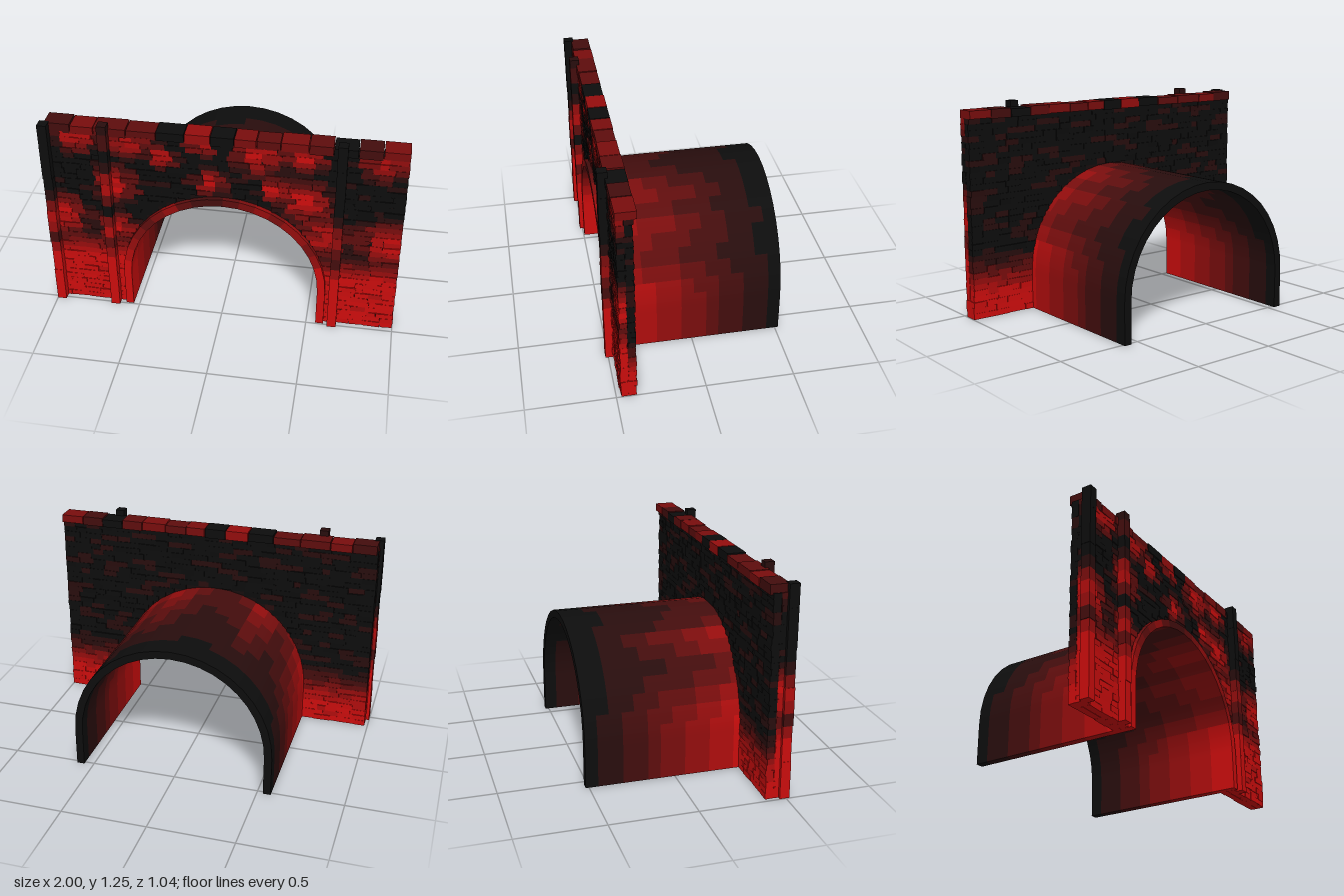
import * as THREE from 'three';
import { mergeGeometries } from 'three/addons/utils/BufferGeometryUtils.js';

const CX = 0.01, SPRING = 0.235, R_IN = 0.545, R_OUT = 0.59; // arch centre, spring line, radii
const Z_FRONT = 0.475, Z_BACK = 0.385, Z_MID = 0.43, WALL_TOP = 1.17;
const SHADES = 8;

// small seeded random, -1..1
let seed = 7;
const rnd = () => {
  seed = (seed * 16807) % 2147483647;
  return (seed / 2147483647) * 2 - 1;
};
const clamp = THREE.MathUtils.clamp;

// shade between soot black (0) and red (1)
function shade(t) {
  return new THREE.MeshStandardMaterial({
    color: new THREE.Color().setRGB(0.05 + 0.74 * t, 0.05, 0.05, THREE.SRGBColorSpace),
  });
}

// collects pieces of one part and merges them into one mesh per shade
function part(name) {
  const buckets = Array.from({ length: SHADES }, () => []);
  return {
    add(geo, tone) {
      buckets[Math.round(clamp(tone, 0, 1) * (SHADES - 1))].push(geo);
    },
    build() {
      const group = new THREE.Group();
      group.name = name;
      buckets.forEach((list, i) => {
        if (!list.length) return;
        const mesh = new THREE.Mesh(mergeGeometries(list), shade(i / (SHADES - 1)));
        mesh.name = name + 'Shade' + i;
        group.add(mesh);
      });
      return group;
    },
  };
}

// box given by its limits
function box(x0, x1, y0, y1, z0, z1, tilt = 0) {
  const g = new THREE.BoxGeometry(x1 - x0, y1 - y0, z1 - z0);
  g.rotateX(rnd() * tilt).rotateY(rnd() * tilt);
  return g.translate((x0 + x1) / 2, (y0 + y1) / 2, (z0 + z1) / 2);
}

// red patches on the front face: x, y, radius
const PATCHES = [
  [-0.92, 0.6, 0.15], [0.92, 0.6, 0.16], [0.47, 0.84, 0.14], [0.3, 0.9, 0.09], [-0.07, 0.92, 0.09],
  [-0.33, 1.06, 0.08], [0.2, 1.13, 0.14], [-0.8, 1.16, 0.12], [-0.52, 1.15, 0.12], [0.45, 1.15, 0.12],
  [-0.6, 0.85, 0.12], [0.88, 1.15, 0.12], [0.58, 0.62, 0.13], [-0.6, 0.55, 0.1], [-0.1, 1.16, 0.08],
];
function frontTone(x, y) {
  let t = clamp((0.52 - y) / 0.18, 0, 1);
  for (const [px, py, r] of PATCHES) {
    t = Math.max(t, 0.9 * clamp(1.35 - Math.hypot(x - px, y - py) / r, 0, 1));
  }
  return t;
}
const backTone = (x, y) => clamp((0.38 - y) / 0.25, 0, 1) + 0.12 * Math.max(0, rnd());

// half width of the opening at a height
function openingAt(y) {
  if (y <= SPRING) return R_OUT - 0.01;
  const d = y - SPRING;
  return d < R_OUT ? Math.sqrt(R_OUT * R_OUT - d * d) - 0.01 : 0;
}

// solid wall core with the arch cut out
function wallCore() {
  const s = new THREE.Shape();
  const r = R_OUT - 0.01;
  s.moveTo(-0.97, 0.005);
  s.lineTo(CX - r, 0.005);
  s.lineTo(CX - r, SPRING);
  s.absarc(CX, SPRING, r, Math.PI, 0, true);
  s.lineTo(CX + r, 0.005);
  s.lineTo(0.99, 0.005);
  s.lineTo(0.99, WALL_TOP);
  s.lineTo(-0.97, WALL_TOP);
  const g = new THREE.ExtrudeGeometry(s, { depth: 0.076, bevelEnabled: false, curveSegments: 20 });
  const mesh = new THREE.Mesh(g.translate(0, 0, 0.392), shade(0.05));
  mesh.name = 'wallCore';
  return mesh;
}

// courses of rough stone on one face of the wall
function stoneFace(name, front) {
  const p = part(name);
  const rows = 34, h = WALL_TOP / rows;
  for (let j = 0; j < rows; j++) {
    const y = j * h, half = openingAt(y);
    const spans = half > 0 ? [[-0.98, CX - half], [CX + half, 0.998]] : [[-0.98, 0.998]];
    for (const [a, b] of spans) {
      const n = Math.max(1, Math.round((b - a) / 0.085));
      const w = (b - a) / n;
      let x0 = a;
      for (let i = 0; i < n; i++) {
        const x1 = i === n - 1 ? b + rnd() * 0.002 : a + w * (i + 1 + rnd() * 0.3);
        const out = rnd() * 0.003, xm = (x0 + x1) / 2, ym = y + h / 2;
        const g = front
          ? box(x0, x1, y, y + h, Z_MID, Z_FRONT - 0.002 + out, 0.06)
          : box(x0, x1, y, y + h, Z_BACK + out, Z_MID, 0.06);
        p.add(g, (front ? frontTone(xm, ym) : backTone(xm, ym)) + rnd() * 0.08);
        x0 = x1;
      }
    }
  }
  return p.build();
}

// row of uneven coping stones
function coping() {
  const p = part('copingStone');
  const joints = [-0.975, -0.83, -0.7, -0.52, -0.355, -0.2, -0.06, 0.07, 0.19, 0.32, 0.47, 0.6, 0.73, 0.86, 1];
  for (let i = 0; i < joints.length - 1; i++) {
    const a = joints[i], b = joints[i + 1], m = (a + b) / 2;
    const g = box(a + 0.002, b - 0.002, 1.163 + rnd() * 0.004, 1.213 + rnd() * 0.005,
      0.366 + rnd() * 0.003, 0.477 + rnd() * 0.003);
    p.add(g, frontTone(m, 1.17) * 0.75 + rnd() * 0.1);
  }
  return p.build();
}

// pilaster of stacked blocks
function pilaster(name, x, top) {
  const p = part(name);
  const joints = [0, 0.22, 0.43, 0.65, 0.87, 1.09, top];
  for (let i = 0; i < joints.length - 1; i++) {
    const slices = 3, h = (joints[i + 1] - joints[i]) / slices;
    const j = rnd() * 0.002, k = rnd() * 0.002;
    for (let s = 0; s < slices; s++) {
      const y = joints[i] + s * h;
      p.add(box(x - 0.0265 + j, x + 0.0265 + j, y, y + h, 0.462, 0.518 + k), frontTone(x, y + h / 2));
    }
  }
  return p.build();
}

// vaulted tunnel lining, darkening towards the back
function tunnel() {
  const p = part('tunnelLining');
  const bands = 14, z0 = -0.52, z1 = 0.495, depth = (z1 - z0) / bands;
  // soot streaks round the vault, from the +x side to the -x side
  const streak = [1, 0.95, 0.75, 0.55, 0.65, 0.75, 0.55, 0.7, 0.6, 0.4,
    0.3, 0.35, 0.4, 0.7, 0.6, 0.4, 0.5, 0.7, 0.9, 1];
  const at = (r, a) => new THREE.Vector2(CX + r * Math.cos(a), SPRING + r * Math.sin(a));
  const pieces = streak.map((tone, i) => {
    const a = (Math.PI * i) / streak.length, b = (Math.PI * (i + 1)) / streak.length;
    return { pts: [at(R_IN, a), at(R_OUT, a), at(R_OUT, b), at(R_IN, b)], tone, curved: true };
  });
  for (const s of [-1, 1]) {
    const i = CX + s * R_IN, o = CX + s * R_OUT;
    const pts = [[i, 0], [o, 0], [o, SPRING], [i, SPRING]].map(([x, y]) => new THREE.Vector2(x, y));
    pieces.push({ pts, tone: 1, curved: false });
  }
  for (const { pts, tone, curved } of pieces) {
    for (let k = 0; k < bands; k++) {
      const z = z0 + k * depth;
      const g = new THREE.ExtrudeGeometry(new THREE.Shape(pts), { depth, bevelEnabled: false });
      if (curved) smoothRound(g);
      const fade = clamp((z + depth / 2 + 0.5) / 0.88, 0, 1);
      p.add(g.translate(0, 0, z), fade * tone);
    }
  }
  return p.build();
}

// turn the normals of the curved faces along the radius
function smoothRound(g) {
  const pos = g.attributes.position, nor = g.attributes.normal;
  for (let i = 0; i < pos.count; i++) {
    const x = pos.getX(i) - CX, y = pos.getY(i) - SPRING, r = Math.hypot(x, y);
    const d = (nor.getX(i) * x + nor.getY(i) * y) / r;
    if (Math.abs(d) > 0.5) nor.setXYZ(i, (Math.sign(d) * x) / r, (Math.sign(d) * y) / r, 0);
  }
}

export function createModel() {
  seed = 7;
  const model = new THREE.Group();
  model.name = 'tunnelPortal';
  model.add(
    wallCore(),
    stoneFace('frontStone', true),
    stoneFace('backStone', false),
    coping(),
    pilaster('endPilaster', -0.9725, 1.22),
    pilaster('rightPilaster', -0.642, 1.245),
    pilaster('leftPilaster', 0.65, 1.245),
    tunnel(),
  );
  return model;
}
